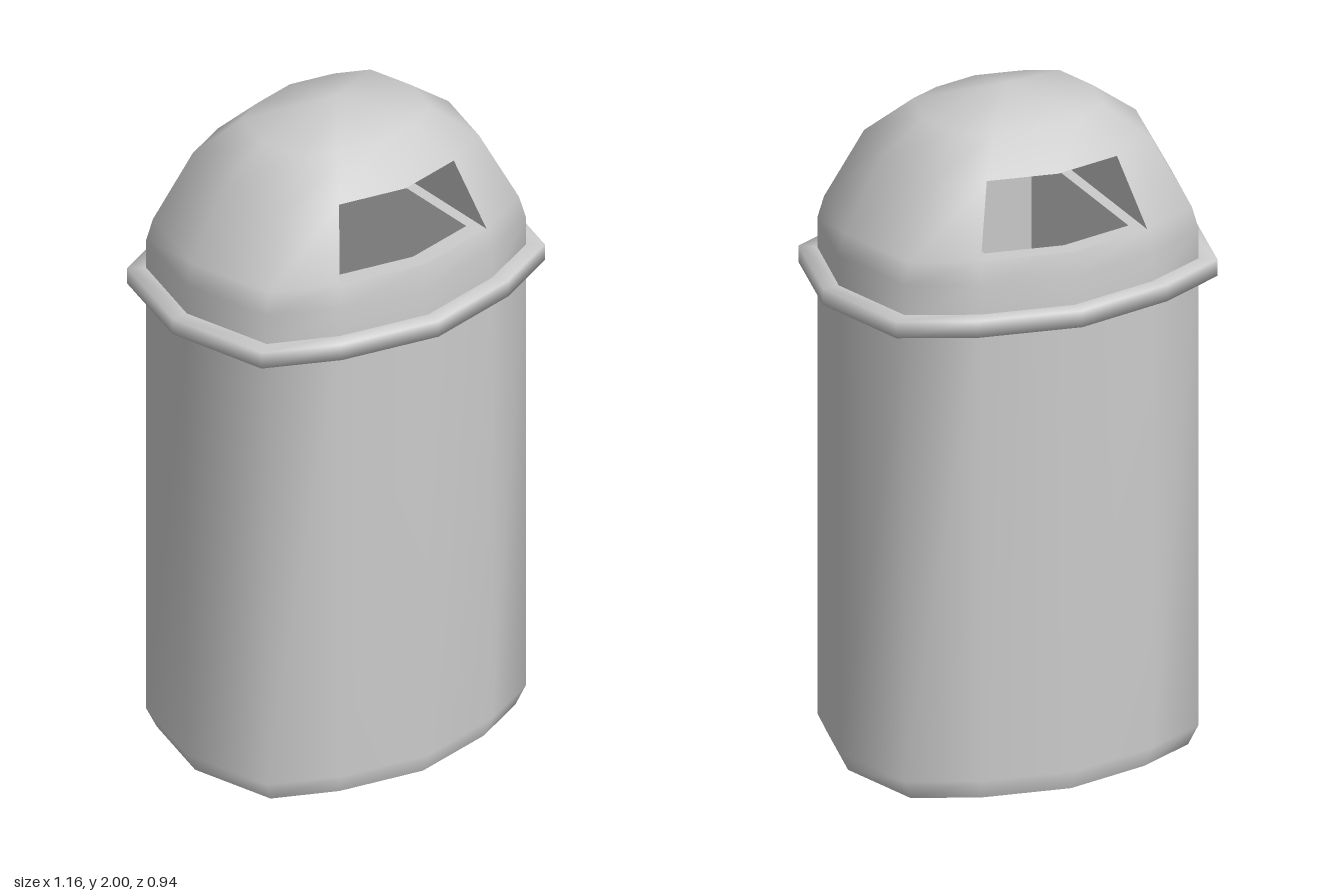
import * as THREE from 'three';
import { mergeVertices } from 'three/addons/utils/BufferGeometryUtils.js';

// Twelve-sided oval cross-section, starting at the front and running towards +x
const quarter = [[0, 0.42], [0.27, 0.365], [0.46, 0.275], [0.53, 0]];
const half = [...quarter, ...quarter.slice(0, 3).reverse().map(([x, z]) => [x, -z])];
const OVAL = [...half, ...half.slice(1, -1).reverse().map(([x, z]) => [-x, z])];

// Rings are [y, scaleX, scaleZ]; skip(ring, side) leaves a panel open
function loft(rings, outline = OVAL, skip = () => false) {
  const n = outline.length, pos = [], index = [];
  for (const [y, sx, sz = sx] of rings)
    for (const [x, z] of outline) pos.push(x * sx, y, z * sz);
  for (let r = 0; r < rings.length - 1; r++)
    for (let i = 0; i < n; i++) {
      if (skip(r, i)) continue;
      const a = r * n + i, b = r * n + (i + 1) % n;
      index.push(a, b, b + n, a, b + n, a + n);
    }
  const g = new THREE.BufferGeometry();
  g.setAttribute('position', new THREE.Float32BufferAttribute(pos, 3));
  g.setIndex(index);
  const merged = mergeVertices(g);
  merged.computeVertexNormals();
  return merged;
}

// Horizontal plate from an [x, z] outline, with an optional hole
function plate(outline, y, hole) {
  const toPoints = (list) => list.map(([x, z]) => new THREE.Vector2(x, -z));
  const shape = new THREE.Shape(toPoints(outline));
  if (hole) shape.holes.push(new THREE.Path(toPoints(hole)));
  return new THREE.ShapeGeometry(shape).rotateX(-Math.PI / 2).translate(0, y, 0);
}

export function createModel() {
  const group = new THREE.Group();
  const smooth = new THREE.MeshStandardMaterial({ color: 0xcccccc });
  const flat = new THREE.MeshStandardMaterial({ color: 0xcccccc, flatShading: true, side: THREE.DoubleSide });
  const add = (name, geometry, material = smooth) => {
    const mesh = new THREE.Mesh(geometry, material);
    mesh.name = name;
    group.add(mesh);
  };

  // Bin body with a bevelled foot
  add('body', loft([[0, 0.945], [0.06, 1], [1.45, 1]]));
  add('base', loft([[0, 0], [0, 0.945]]));

  // Collar between body and lid
  add('rim', loft([[1.43, 0.99], [1.43, 1.094, 1.115], [1.48, 1.094, 1.115], [1.48, 0.99]]));

  // Domed lid, open at the two middle panels front and back
  const low = [1.635, 0.965], high = [1.84, 0.755];
  const isOpening = (r, i) => r === 2 && [11, 0, 5, 6].includes(i);
  add('lid', loft([[1.45, 1], [1.57, 1], low, high, [1.94, 0.5], [2, 0]], OVAL, isOpening));

  // Passage through the lid: side walls, ceiling and a floor opening into the bin
  const tunnel = [11, 0, 1, 5, 6, 7].map((i) => OVAL[i]);
  const scaled = (s) => tunnel.map(([x, z]) => [x * s, z * s]);
  const hole = scaled(0.835);
  add('passageWalls', loft([low, high], tunnel, (r, i) => i !== 2 && i !== 5), flat);
  add('passageCeiling', plate(scaled(high[1]), high[0]), flat);
  add('passageFloor', plate(scaled(low[1]), low[0], hole), flat);
  add('chute', loft([[0.08, 1], [low[0], 1]], hole), flat);
  add('chuteBottom', plate(hole, 0.08), flat);

  return group;
}
